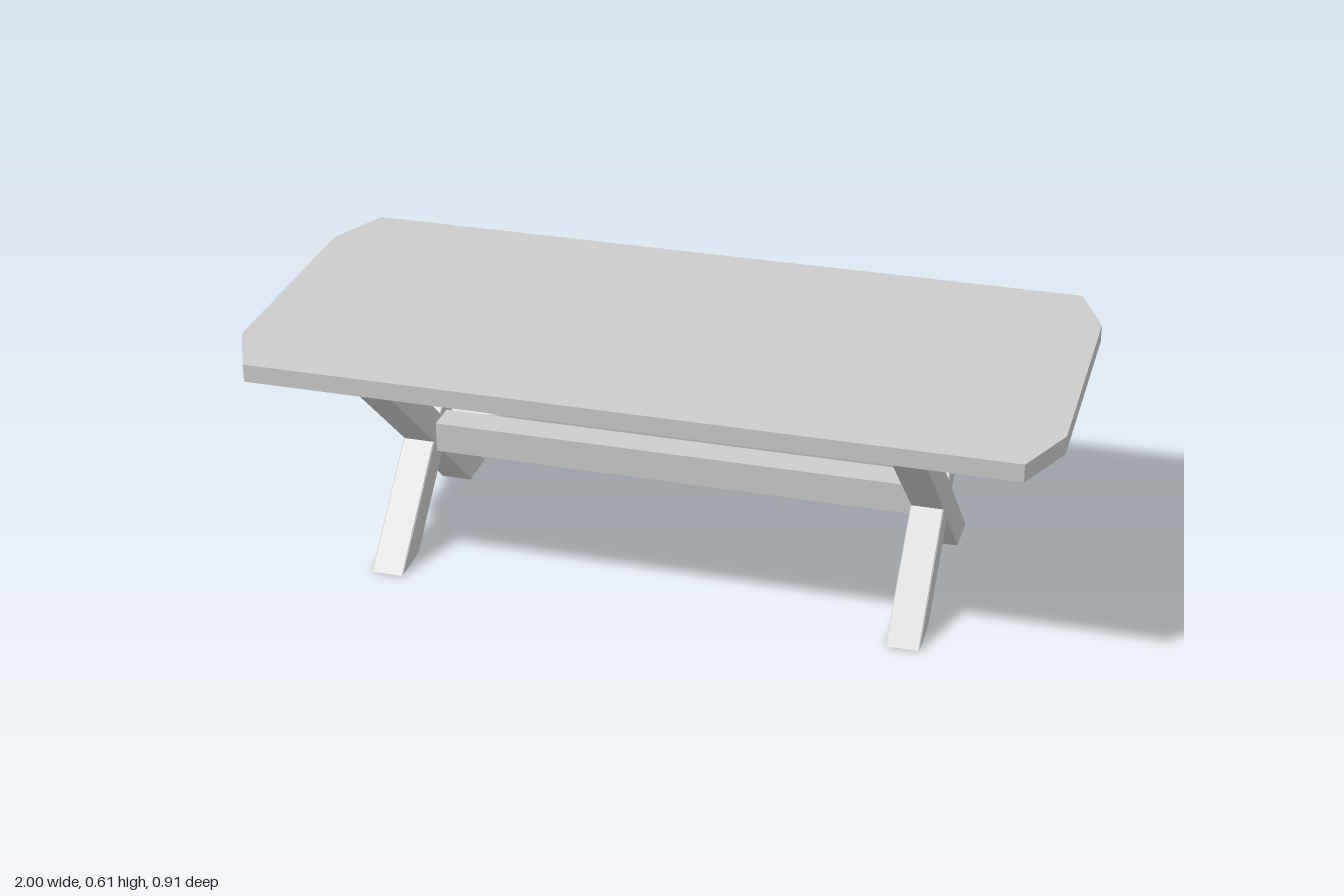
import * as THREE from 'three';

const material = new THREE.MeshStandardMaterial({ color: 0xcccccc, flatShading: true });

// Extrudes an outline by a depth, centred, with an optional small chamfer kept inside the outline
function prism(points, depth, bevel = 0) {
  const shape = new THREE.Shape(points.map(([a, b]) => new THREE.Vector2(a, b)));
  const geometry = new THREE.ExtrudeGeometry(shape, {
    depth: depth - 2 * bevel,
    bevelEnabled: bevel > 0,
    bevelThickness: bevel,
    bevelSize: bevel,
    bevelOffset: -bevel,
    bevelSegments: 1,
  });
  return geometry.translate(0, 0, bevel - depth / 2);
}

function addPart(group, name, geometry, x = 0, y = 0) {
  const mesh = new THREE.Mesh(geometry, material);
  mesh.name = name;
  mesh.position.set(x, y, 0);
  group.add(mesh);
}

export function createModel() {
  const table = new THREE.Group();
  table.name = 'table';

  // Tabletop: rectangle with clipped corners
  const corner = [[1, 0.3], [0.93, 0.457]];
  const topOutline = [
    ...corner,
    ...corner.map(([x, z]) => [-x, z]).reverse(),
    ...corner.map(([x, z]) => [-x, -z]),
    ...corner.map(([x, z]) => [x, -z]).reverse(),
  ];
  addPart(table, 'tabletop', prism(topOutline, 0.045).rotateX(-Math.PI / 2), 0, 0.5895);

  // Crossed legs: one X-shaped outline, mirrored about its middle
  const half = [[0, 0.19], [0.2, 0], [0.316, 0], [0.057, 0.245], [0.408, 0.569], [0.29, 0.569], [0, 0.298]];
  const mirrored = half.slice(1, -1).map(([z, y]) => [-z, y]).reverse();
  const legGeometry = prism([...half, ...mirrored], 0.082, 0.003).rotateY(Math.PI / 2);
  addPart(table, 'leftCrossLegs', legGeometry, 0.652);
  addPart(table, 'rightCrossLegs', legGeometry, -0.652);

  // Stretcher beam joining the two crosses
  const beamOutline = [[-0.04, -0.039], [0.04, -0.039], [0.04, 0.039], [-0.04, 0.039]];
  addPart(table, 'stretcher', prism(beamOutline, 1.23, 0.003).rotateY(Math.PI / 2), 0, 0.25);

  return table;
}
